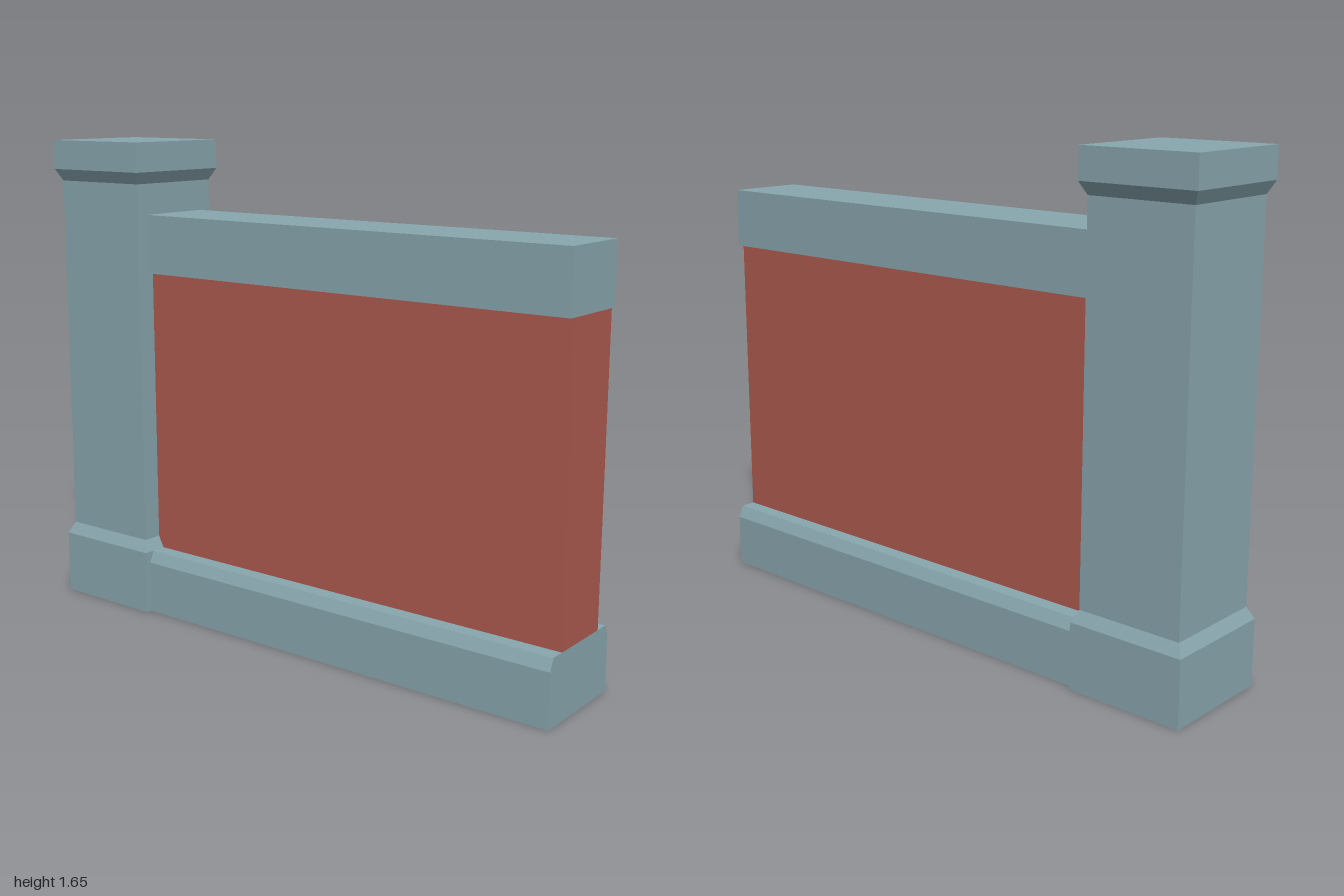
import * as THREE from 'three';

const stone = new THREE.MeshStandardMaterial({ color: 0x8aa8b0, flatShading: true });
const brick = new THREE.MeshStandardMaterial({ color: 0xb05c50, flatShading: true });

export function createModel() {
  const group = new THREE.Group();
  const add = (name, geometry, material, x, y, z = 0) => {
    const mesh = new THREE.Mesh(geometry, material);
    mesh.name = name;
    mesh.position.set(x, y, z);
    group.add(mesh);
  };

  // Square pillar with tapered foot and flared cap: [half width, height]
  const profile = [
    [0, 0], [0.2, 0], [0.2, 0.22], [0.18, 0.26],
    [0.18, 1.51], [0.2, 1.55], [0.2, 1.65], [0, 1.65],
  ].map(([half, y]) => new THREE.Vector2(half * Math.SQRT2, y));
  const pillar = new THREE.LatheGeometry(profile, 4, Math.PI / 4).toNonIndexed();
  pillar.computeVertexNormals();
  add('pillar', pillar, stone, -0.8, 0);

  // Wall parts run from the pillar shaft to the open end
  const start = -0.62, end = 1;
  const length = end - start, middle = (start + end) / 2;

  // Plinth with chamfered upper edges
  const section = new THREE.Shape([
    [-0.18, 0], [0.18, 0], [0.18, 0.18], [0.163, 0.22], [-0.163, 0.22], [-0.18, 0.18],
  ].map(([z, y]) => new THREE.Vector2(z, y)));
  const plinth = new THREE.ExtrudeGeometry(section, { depth: length, bevelEnabled: false });
  plinth.rotateY(Math.PI / 2);
  add('plinth', plinth, stone, start, 0);

  // Brick panel and coping
  add('wallPanel', new THREE.BoxGeometry(length, 0.985, 0.224), brick, middle, 0.7125);
  add('coping', new THREE.BoxGeometry(length, 0.2, 0.266), stone, middle, 1.305);

  return group;
}
